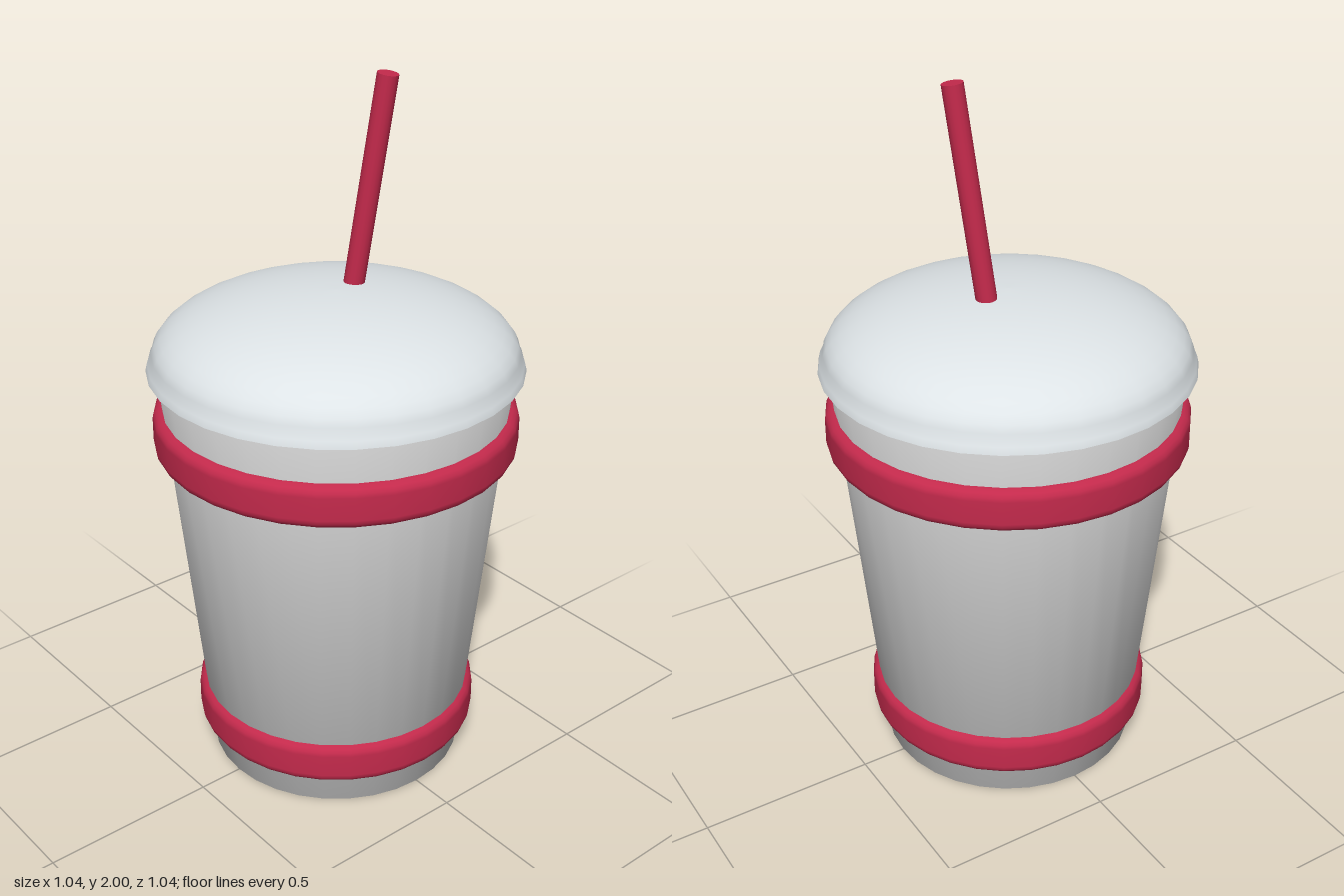
import * as THREE from 'three';

const SIDES = 32;
const red = new THREE.MeshStandardMaterial({ color: 0xc42a4c });
const grey = new THREE.MeshStandardMaterial({ color: 0xcccccc });
const lidMaterial = new THREE.MeshStandardMaterial({ color: 0xdde3e6, side: THREE.DoubleSide });

// Revolve a list of [radius, height] pairs, listed from the bottom up on the outside
function turned(name, profile, material) {
  const points = profile.map(([r, y]) => new THREE.Vector2(r, y));
  const mesh = new THREE.Mesh(new THREE.LatheGeometry(points, SIDES), material);
  mesh.name = name;
  return mesh;
}

// Flat-faced band with rounded shoulders, its inner side sunk into the cup
function band(name, outer, y0, y1) {
  const corner = 0.03, inner = outer - 0.07;
  const profile = [[inner, y0], [outer - corner, y0]];
  for (let i = 1; i <= 4; i++) {
    const a = (i / 4) * Math.PI / 2;
    profile.push([outer - corner + corner * Math.sin(a), y0 + corner - corner * Math.cos(a)]);
  }
  for (let i = 0; i <= 4; i++) {
    const a = (i / 4) * Math.PI / 2;
    profile.push([outer - corner + corner * Math.cos(a), y1 - corner + corner * Math.sin(a)]);
  }
  profile.push([inner, y1]);
  return turned(name, profile, red);
}

export function createModel() {
  const group = new THREE.Group();
  group.name = 'drinkCup';

  // Tapered cup, closed at both ends and shaded softly over its edges
  group.add(turned('cup', [[0, 0], [0.37, 0], [0.495, 1.23], [0, 1.23]], grey));

  // Two bands around the cup
  group.add(band('lowerBand', 0.41, 0.085, 0.21));
  group.add(band('upperBand', 0.508, 0.97, 1.095));

  // Thin domed lid with a flared rim, open underneath
  const dome = [[0.52, 1.21], [0.515, 1.23]];
  const steps = 14;
  for (let i = 0; i <= steps; i++) {
    const a = (i / steps) * Math.PI / 2;
    dome.push([i === steps ? 0 : 0.507 * Math.cos(a), 1.24 + 0.185 * Math.sin(a)]);
  }
  group.add(turned('lid', dome, lidMaterial));

  // Leaning straw
  const foot = new THREE.Vector3(0.068, 1.3, -0.033);
  const tip = new THREE.Vector3(0.136, 1.996, 0.044);
  const axis = tip.clone().sub(foot);
  const straw = new THREE.Mesh(new THREE.CylinderGeometry(0.029, 0.029, axis.length(), 16), red);
  straw.name = 'straw';
  straw.position.copy(foot).add(tip).multiplyScalar(0.5);
  straw.quaternion.setFromUnitVectors(new THREE.Vector3(0, 1, 0), axis.normalize());
  group.add(straw);

  return group;
}
